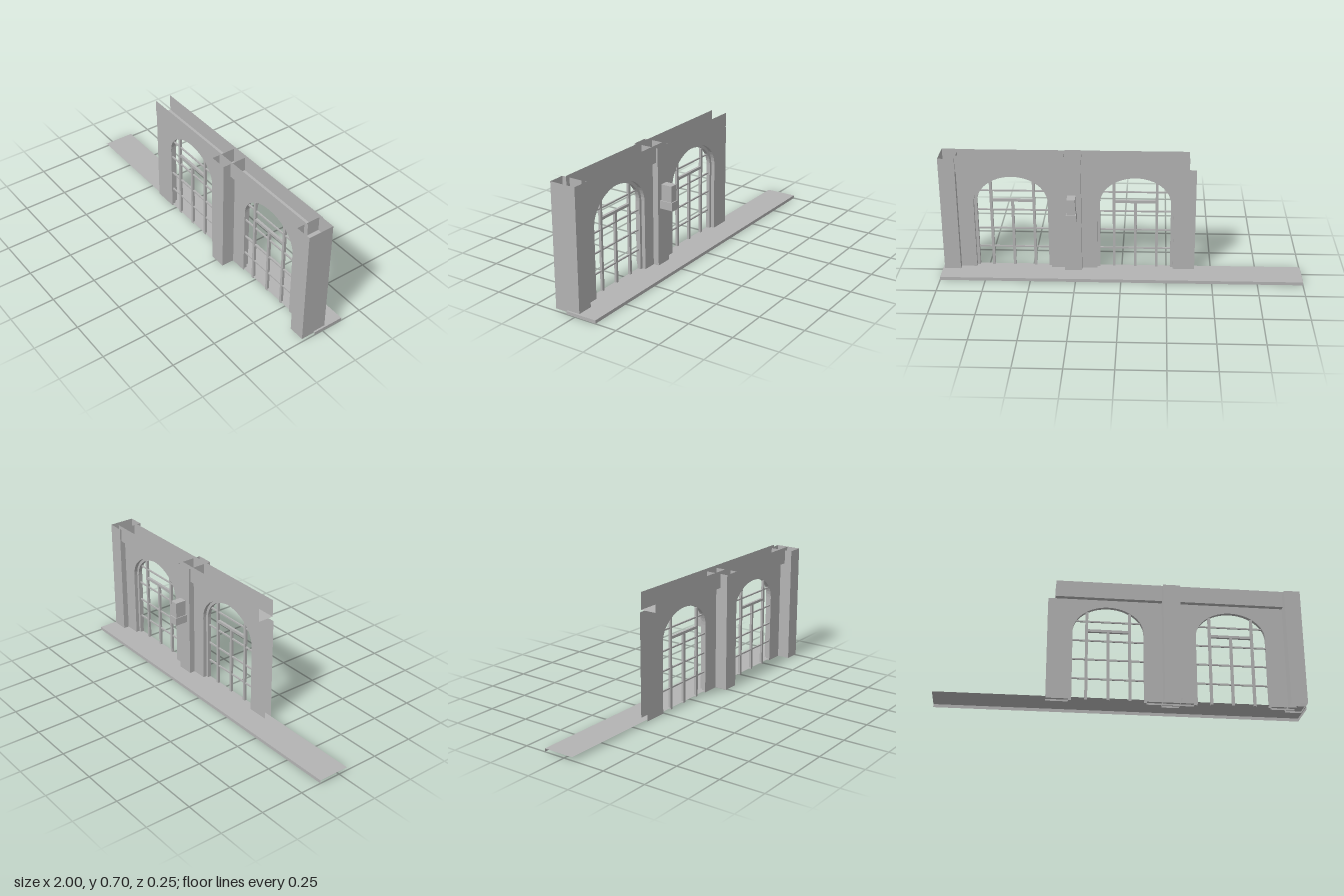
import * as THREE from 'three';

const stone = new THREE.MeshStandardMaterial({ color: 0xb3b3b3, side: THREE.DoubleSide, flatShading: true });
stone.name = 'grey stone';

const FOOT = 0.008, WALL_TOP = 0.6;
const FRONT_Z = 0.055, BACK_Z = 0.0125, STEP_Z = 0.033;
const ARCHES = [-0.076, 0.602];        // centre x of each opening
const HALF = 0.195, SPRING = 0.405, RISE = 0.152;

export function createModel() {
  const model = new THREE.Group();
  model.name = 'arcadeWall';

  const add = (name, geometry, parent = model) => {
    const mesh = new THREE.Mesh(geometry, stone);
    mesh.name = name;
    parent.add(mesh);
    return mesh;
  };
  const box = (name, x0, x1, y0, y1, z0, z1, parent) => {
    const m = add(name, new THREE.BoxGeometry(x1 - x0, y1 - y0, z1 - z0), parent);
    m.position.set((x0 + x1) / 2, (y0 + y1) / 2, (z0 + z1) / 2);
  };
  // open surface stretched between rows of points
  const loft = (name, rows, parent) => {
    const n = rows[0].length, index = [];
    for (let r = 0; r < rows.length - 1; r++)
      for (let i = 0; i < n - 1; i++) {
        const a = r * n + i, b = a + n;
        index.push(a, b, a + 1, b, b + 1, a + 1);
      }
    const g = new THREE.BufferGeometry();
    g.setAttribute('position', new THREE.Float32BufferAttribute(rows.flat(2), 3));
    g.setIndex(index);
    g.computeVertexNormals();
    add(name, g, parent);
  };

  // outline of an opening, from its left foot over the arch to its right foot
  const archOutline = (cx, grow = 0) => {
    const pts = [[cx - HALF - grow, FOOT]];
    for (let i = 0; i <= 24; i++) {
      const a = Math.PI * (1 - i / 24);
      pts.push([cx + (HALF + grow) * Math.cos(a), SPRING + (RISE + grow) * Math.sin(a)]);
    }
    pts.push([cx + HALF + grow, FOOT]);
    return pts;
  };

  // wall skins with both openings cut up from the foot
  const wall = (name, z, grow) => {
    const outline = [[-0.407, FOOT], ...ARCHES.flatMap(cx => archOutline(cx, grow)),
      [0.945, FOOT], [0.945, WALL_TOP], [-0.407, WALL_TOP]];
    const shape = new THREE.Shape(outline.map(p => new THREE.Vector2(...p)));
    add(name, new THREE.ShapeGeometry(shape)).position.z = z;
  };
  wall('frontWall', FRONT_Z, 0);
  wall('backWall', BACK_Z, 0.016);

  for (const cx of ARCHES) {
    const bay = new THREE.Group();
    bay.name = 'archedWindow';
    model.add(bay);

    // stepped lining of the opening
    const ring = (grow, z) => archOutline(cx, grow).map(([x, y]) => [x, y, z]);
    loft('archLining', [ring(0, FRONT_Z), ring(0, STEP_Z)], bay);
    loft('archStep', [ring(0, STEP_Z), ring(0.016, STEP_Z)], bay);
    loft('archRebate', [ring(0.016, STEP_Z), ring(0.016, BACK_Z)], bay);

    // upright bars
    const archY = dx => SPRING + RISE * Math.sqrt(1 - (dx / HALF) ** 2);
    const bar = 0.0075, z0 = 0.039, z1 = 0.053;
    for (const dx of [-0.118, 0, 0.118])
      box('mullion', cx + dx - bar, cx + dx + bar, FOOT, dx ? archY(dx) : 0.41, z0, z1, bay);
    // cross bars and the heavier transom
    for (const y of [0.13, 0.243, 0.355, 0.47]) {
      const w = y > SPRING ? HALF * Math.sqrt(1 - ((y - SPRING) / RISE) ** 2) : HALF;
      box('glazingBar', cx - w, cx + w, y - 0.004, y + 0.004, z0 + 0.003, z1 - 0.003, bay);
    }
    box('transom', cx - 0.118, cx + 0.118, 0.406, 0.421, z0, z1, bay);
  }

  // hollow pilasters, open at top and foot
  for (const [x0, x1] of [[0.22, 0.315], [0.9, 0.99]]) {
    const loop = y => [[x0, y, 0.127], [x1, y, 0.127], [x1, y, -0.02], [x0, y, -0.02], [x0, y, 0.127]];
    loft('pilaster', [loop(FOOT), loop(0.68)]);
  }

  // open trough of the parapet
  const parapet = x => [[x, 0.696, 0.083], [x, WALL_TOP, 0.083], [x, WALL_TOP, -0.01], [x, 0.696, -0.01]];
  loft('parapet', [parapet(-0.368), parapet(0.925)]);

  // pavement: top, back edge and right end
  const pavement = x => [[x, 0.018, 0.053], [x, 0.018, -0.126], [x, 0, -0.126]];
  loft('pavement', [pavement(-1), pavement(1)]);
  loft('pavementEnd', [[[1, 0, 0.053], [1, 0, -0.126]], [[1, 0.018, 0.053], [1, 0.018, -0.126]]]);

  // lamp on the back of the middle pilaster
  box('lampBase', 0.243, 0.298, 0.342, 0.387, -0.096, -0.02);
  box('lampBody', 0.248, 0.293, 0.387, 0.477, -0.09, -0.026);

  return model;
}
